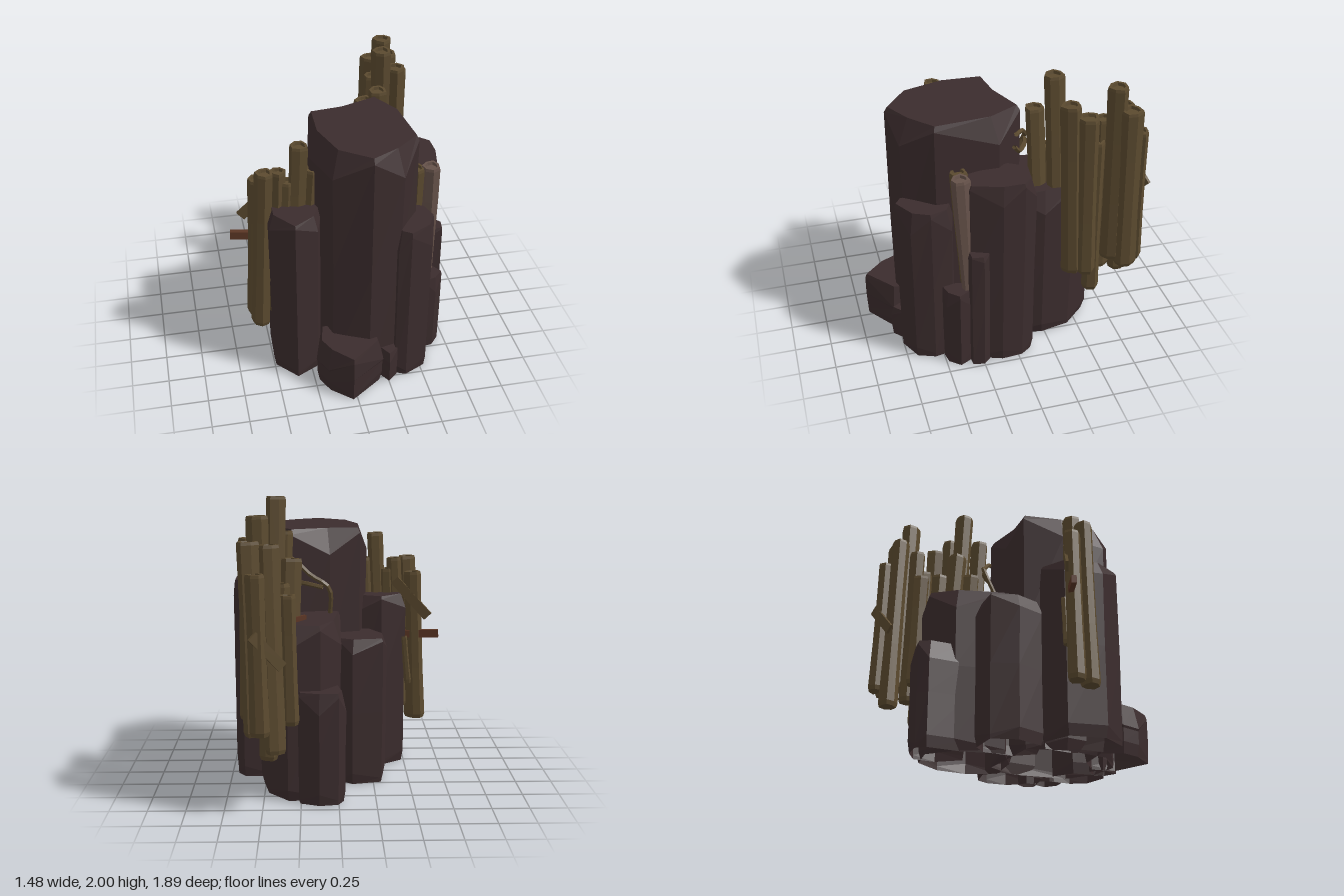
import * as THREE from 'three';

const paint = (color) => new THREE.MeshStandardMaterial({ color, flatShading: true, side: THREE.DoubleSide });

// Faceted stone column, open below: plan outline (clockwise from above) with
// alternating deep and shallow corner cuts around the top
function column(name, height, bevel, outline, material) {
  const n = outline.length;
  const cx = outline.reduce((sum, p) => sum + p[0], 0) / n;
  const cz = outline.reduce((sum, p) => sum + p[1], 0) / n;
  const deep = (i) => i % 2 === 0;
  // Each ring gives the height and scale of corner i
  const rings = [
    (i) => [0, deep(i) ? 0.9 : 0.96],
    (i) => [deep(i) ? 0.08 : 0.03, 0.97],
    (i) => [height * 0.5, deep(i) ? 0.97 : 1],
    (i) => [height - bevel * (deep(i) ? 1 : 0.2), 1],
    (i) => [height, deep(i) ? 0.82 : 0.95],
  ];
  const pos = [];
  const index = [];
  rings.forEach((ring) => outline.forEach(([x, z], i) => {
    const [y, s] = ring(i);
    pos.push(cx + (x - cx) * s, y, cz + (z - cz) * s);
  }));
  const last = (rings.length - 1) * n;
  pos.push(cx, height, cz);
  for (let i = 0; i < n; i++) {
    const j = (i + 1) % n;
    for (let r = 0; r < last; r += n) {
      index.push(r + i, r + i + n, r + j, r + j, r + i + n, r + j + n);
    }
    index.push(last + n, last + j, last + i);
  }
  const geo = new THREE.BufferGeometry();
  geo.setAttribute('position', new THREE.Float32BufferAttribute(pos, 3));
  geo.setIndex(index);
  geo.computeVertexNormals();
  const mesh = new THREE.Mesh(geo, material);
  mesh.name = name;
  return mesh;
}

// Hollow-ended log between two points, slightly irregular; flare scales its foot
function log(name, from, to, radius, flare, seed, material) {
  const dir = to.clone().sub(from);
  const h = dir.length();
  const profile = [
    [0, 0], [0.85 * flare, 0], [flare, 0.03], [0.5 + 0.45 * flare, h * 0.35], [0.98, h * 0.7], [1.04, h - 0.02],
    [0.97, h], [0.68, h], [0.62, h - 0.02], [0, h - 0.02],
  ].map(([r, y]) => new THREE.Vector2(r * radius, y));
  const geo = new THREE.LatheGeometry(profile, 7);
  const p = geo.attributes.position;
  for (let i = 0; i < p.count; i++) {
    const k = 1 + 0.09 * Math.sin(3 * Math.atan2(p.getX(i), p.getZ(i)) + seed);
    p.setXYZ(i, p.getX(i) * k, p.getY(i), p.getZ(i) * k);
  }
  geo.computeVertexNormals();
  const mesh = new THREE.Mesh(geo, material);
  mesh.name = name;
  mesh.position.copy(from);
  mesh.quaternion.setFromUnitVectors(new THREE.Vector3(0, 1, 0), dir.normalize());
  return mesh;
}

// Row of upright logs [top x, top z, top y, bottom y, radius], all leaning by about the same amount
function logBundle(name, list, leanX, leanZ, flare, material) {
  const group = new THREE.Group();
  group.name = name + 'Bundle';
  list.forEach(([x, z, top, low, radius], i) => {
    const lean = 0.4 + 0.6 * Math.abs(Math.sin(i * 2.3 + 1.6));
    const foot = new THREE.Vector3(x + leanX * lean, low, z + leanZ * lean);
    group.add(log(name, foot, new THREE.Vector3(x, top, z), radius, flare, i * 1.7, material));
  });
  return group;
}

// Flat board between two points
function plank(name, from, to, width, thick, material) {
  const a = new THREE.Vector3(...from);
  const b = new THREE.Vector3(...to);
  const mesh = new THREE.Mesh(new THREE.BoxGeometry(thick, width, a.distanceTo(b)), material);
  mesh.name = name;
  mesh.position.copy(a).lerp(b, 0.5);
  mesh.lookAt(b);
  return mesh;
}

// Thin bent root following a curve
function root(points, material) {
  const curve = new THREE.CatmullRomCurve3(points.map((p) => new THREE.Vector3(...p)));
  const mesh = new THREE.Mesh(new THREE.TubeGeometry(curve, 14, 0.016, 5), material);
  mesh.name = 'bentRoot';
  return mesh;
}

export function createModel() {
  const model = new THREE.Group();
  model.name = 'rockColumnsWithLogs';
  const stone = paint(0x3b2c2d);
  const bark = paint(0x5b4a2f);
  const paleBark = paint(0x66524a);
  const redWood = paint(0x5a3524);

  // Tall stone columns
  model.add(
    column('mainColumn', 1.76, 0.18, [[-0.22, 0.31], [-0.16, 0.03], [0.05, -0.05], [0.32, -0.1], [0.48, 0.08], [0.47, 0.5], [0.33, 0.7], [0.12, 0.75], [-0.12, 0.64]], stone),
    column('leftColumn', 1.41, 0.14, [[0.4, 0], [0.5, -0.11], [0.66, -0.12], [0.71, -0.03], [0.73, 0.12], [0.65, 0.32], [0.48, 0.36]], stone),
    column('backColumn', 1.19, 0.16, [[-0.02, -0.42], [0.12, -0.59], [0.34, -0.62], [0.48, -0.44], [0.54, -0.22], [0.47, 0], [0.2, 0.05], [-0.02, -0.06]], stone),
    column('rightBackColumn', 1.03, 0.1, [[-0.35, -0.05], [-0.31, -0.24], [-0.1, -0.3], [-0.01, -0.22], [0.04, 0], [-0.05, 0.15], [-0.25, 0.14]], stone),
    column('rightColumn', 1.26, 0.1, [[-0.5, 0.22], [-0.32, 0.11], [-0.17, 0.14], [-0.13, 0.35], [-0.2, 0.57], [-0.36, 0.64], [-0.51, 0.49]], stone),
    column('frontColumn', 1.19, 0.16, [[0.3, 0.5], [0.42, 0.38], [0.56, 0.42], [0.58, 0.56], [0.54, 0.69], [0.38, 0.76], [0.3, 0.74]], stone),
  );

  // Low stones around the foot
  model.add(
    column('lowBackColumn', 0.76, 0.14, [[-0.05, -0.6], [0.0, -0.67], [0.13, -0.7], [0.26, -0.64], [0.3, -0.48], [0.2, -0.3], [0.0, -0.32]], stone),
    column('frontBoulder', 0.35, 0.16, [[-0.24, 0.69], [-0.18, 0.54], [0.06, 0.5], [0.2, 0.6], [0.21, 0.78], [-0.03, 0.94], [-0.18, 0.82]], stone),
    column('smallFrontStone', 0.24, 0.07, [[0.17, 0.68], [0.25, 0.6], [0.33, 0.66], [0.32, 0.74], [0.25, 0.81]], stone),
    column('lowLeftStone', 0.6, 0.12, [[0.54, 0.4], [0.57, 0.33], [0.67, 0.32], [0.71, 0.41], [0.65, 0.49], [0.57, 0.5]], stone),
    column('slimLeftStone', 0.91, 0.04, [[0.63, 0.25], [0.69, 0.2], [0.74, 0.25], [0.72, 0.33], [0.65, 0.34]], stone),
  );

  // Logs leaning on the back column
  model.add(logBundle('innerBackLog', [
    [0.41, -0.29, 2, 0.63, 0.064], [0.53, -0.37, 1.83, 0.55, 0.066], [0.57, -0.48, 1.75, 0.55, 0.07],
    [0.36, -0.18, 1.76, 0.62, 0.062], [0.31, -0.36, 1.6, 0.65, 0.066], [0.38, -0.47, 1.45, 0.55, 0.064],
    [0.32, -0.25, 1.45, 0.7, 0.06],
  ], 0.02, -0.06, 1.05, bark));
  model.add(logBundle('outerBackLog', [
    [0.57, -0.77, 1.76, 0.53, 0.07], [0.51, -0.69, 1.91, 0.57, 0.066], [0.47, -0.58, 1.51, 0.3, 0.06],
    [0.43, -0.64, 1.65, 0.45, 0.058], [0.44, -0.77, 1.74, 0.41, 0.062], [0.52, -0.86, 1.57, 0.55, 0.058],
    [0.33, -0.62, 1.4, 0.55, 0.058],
  ], -0.03, -0.04, 1.08, bark));

  // Logs beside the right column, and a pair beside the front column
  model.add(logBundle('rightLog', [
    [-0.51, 0.36, 1.52, 0.31, 0.06], [-0.42, 0.34, 1.51, 0.4, 0.052], [-0.36, 0.34, 1.43, 0.4, 0.054],
    [-0.28, 0.35, 1.69, 0.5, 0.06], [-0.2, 0.35, 1.51, 0.6, 0.055], [-0.55, 0.26, 1.42, 0.33, 0.058],
    [-0.49, 0.22, 0.95, 0.6, 0.025],
  ], -0.06, 0, 1.1, bark));
  model.add(
    logBundle('leftLog', [[0.5, 0.36, 1.44, 0.55, 0.056]], 0.01, -0.04, 0.7, bark),
    logBundle('paleLeftLog', [[0.6, 0.37, 1.45, 0.56, 0.06]], 0.02, -0.04, 0.7, paleBark),
  );

  // Loose boards tucked against the logs
  model.add(
    plank('rightCrossBoard', [-0.74, 0.97, 0.21], [-0.4, 0.96, 0.26], 0.055, 0.035, redWood),
    plank('rightLeaningBoard', [-0.66, 1.1, 0.19], [-0.42, 1.36, 0.25], 0.07, 0.02, bark),
    plank('backCrossBoard', [0.39, 1.2, -0.61], [0.22, 1.19, -0.35], 0.06, 0.02, redWood),
    plank('backLeaningBoard', [0.54, 1.2, -0.93], [0.36, 0.98, -0.83], 0.07, 0.02, bark),
  );

  // Bent roots hanging over the back column
  model.add(
    root([[0.41, 1.6, -0.05], [0.3, 1.56, -0.12], [0.18, 1.46, -0.18], [0.06, 1.38, -0.21], [0.05, 1.17, -0.12]], bark),
    root([[0.4, 1.5, -0.04], [0.32, 1.42, -0.1], [0.2, 1.4, -0.17], [0.1, 1.38, -0.2]], bark),
  );

  return model;
}
